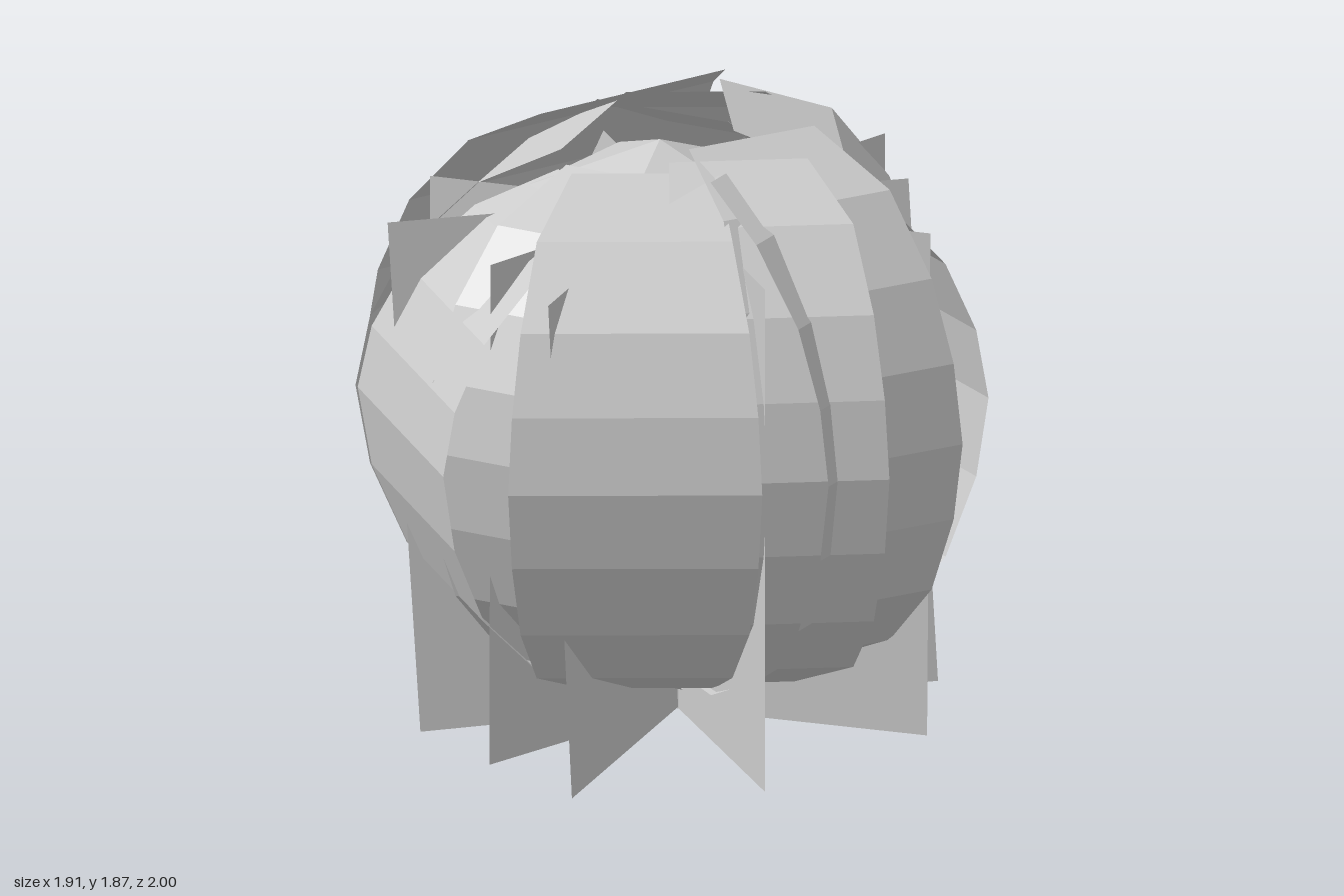
import * as THREE from 'three';

const material = new THREE.MeshStandardMaterial({
  color: 0xcccccc, flatShading: true, side: THREE.DoubleSide,
});

// Stem axis that the leaves and blades grow from
const AXIS = new THREE.Vector2(0.04, 0.04);

// Leaf profile from bottom to top: [outward share, height, width share]
const PROFILE = [
  [0, 0.17, 0.04], [0.33, 0.21, 0.52], [0.62, 0.33, 0.77], [0.84, 0.53, 0.9],
  [0.955, 0.77, 0.97], [1, 1.01, 1], [0.955, 1.24, 0.97], [0.84, 1.47, 0.9],
  [0.62, 1.69, 0.77],
];

// Surface from rows of points, two triangles per cell
function sheet(rows, name) {
  const n = rows[0].length;
  const index = [];
  for (let i = 0; i < rows.length - 1; i++) {
    for (let j = 0; j < n - 1; j++) {
      const a = i * n + j;
      index.push(a, a + 1, a + n, a + 1, a + n + 1, a + n);
    }
  }
  const g = new THREE.BufferGeometry();
  g.setAttribute('position', new THREE.Float32BufferAttribute(rows.flat(2), 3));
  g.setIndex(index);
  const flat = g.toNonIndexed();
  flat.computeVertexNormals();
  const mesh = new THREE.Mesh(flat, material);
  mesh.name = name;
  return mesh;
}

// Cupped leaf, placed by the two ends (x, z) of its widest line; lift raises
// or lowers the upper half, tip is the outward share left at the top edge
function leaf([x1, z1, x2, z2, lift = 0, tip = 0.35]) {
  const a = new THREE.Vector2(x1, z1).sub(AXIS);
  const b = new THREE.Vector2(x2, z2).sub(AXIS);
  const mid = a.clone().add(b).multiplyScalar(0.5);
  const dir = b.clone().sub(a);
  const width = dir.length();
  dir.normalize();
  const out = new THREE.Vector2(-dir.y, dir.x);
  if (out.dot(mid) < 0) out.negate();
  const depth = out.dot(mid), shift = dir.dot(mid);
  const rows = [...PROFILE, [tip, 1.82, 0.58]].map(([r, y, w]) => {
    const c = shift * Math.min(1, w * 1.3);
    const h = y + lift * Math.max(0, y - 1);
    return [-1, 1].map((s) => {
      const t = c + s * w * width / 2;
      return [
        AXIS.x + out.x * depth * r + dir.x * t, h,
        AXIS.y + out.y * depth * r + dir.y * t,
      ];
    });
  });
  return sheet(rows, 'leaf');
}

export function createModel() {
  const model = new THREE.Group();
  model.name = 'leafyHead';

  // Overlapping wrapper leaves
  const leaves = new THREE.Group();
  leaves.name = 'wrapperLeaves';
  [
    [-0.17, 1, 0.53, 0.77, -0.02],
    [0.84, 0.53, 0.2, 0.8, 0.01],
    [0.95, 0.18, 0.46, 0.7, 0.04, 0.28],
    [0.69, 0.64, 0.84, -0.06, -0.02],
    [0.9, -0.22, 0.3, -0.74, -0.08],
    [0.86, -0.03, 0.56, -0.73, 0.06, 0.19],
    [0.33, -0.75, -0.46, -0.88, -0.07],
    [0.16, -0.92, -0.5, -0.7, 0.02],
    [-0.28, -1, -0.96, -0.1, 0.03],
    [-0.83, -0.55, -0.88, 0.24, -0.06],
    [-0.87, 0.25, -0.4, 0.9, -0.18],
    [-0.52, 0.71, 0.2, 0.85, -0.09, 0.28],
  ].forEach((p) => leaves.add(leaf(p)));
  model.add(leaves);

  // Upright blades crossing at the axis: two lower, then two upper corners
  const blades = new THREE.Group();
  blades.name = 'uprightBlades';
  [
    [[0.5, 0.05, 0.65], [-0.42, 0.04, -0.57], [0.5, 1.6, 0.65], [-0.42, 1.6, -0.57]],
    [[-0.05, 0.01, 0.77], [0.13, 0.09, -0.73], [-0.09, 1.56, 0.87], [0.09, 1.64, -0.64]],
    [[-0.34, 0.04, 0.65], [0.44, 0.05, -0.64], [-0.33, 1.59, 0.67], [0.45, 1.63, -0.64]],
    [[-0.65, 0, 0.34], [0.73, 0.1, -0.27], [-0.75, 1.56, 0.34], [0.64, 1.64, -0.27]],
    [[-0.72, 0.04, 0.03], [0.8, 0.05, 0.05], [-0.72, 1.6, 0.03], [0.81, 1.6, 0.05]],
  ].forEach(([a, b, c, d]) => blades.add(sheet([[a, b], [c, d]], 'uprightBlade')));
  model.add(blades);

  // Inner leaves closing the crown
  const heart = new THREE.Mesh(new THREE.ConeGeometry(0.38, 0.14, 5, 1, true), material);
  heart.name = 'heartLeaves';
  heart.position.set(-0.03, 1.71, 0);
  model.add(heart);

  return model;
}
